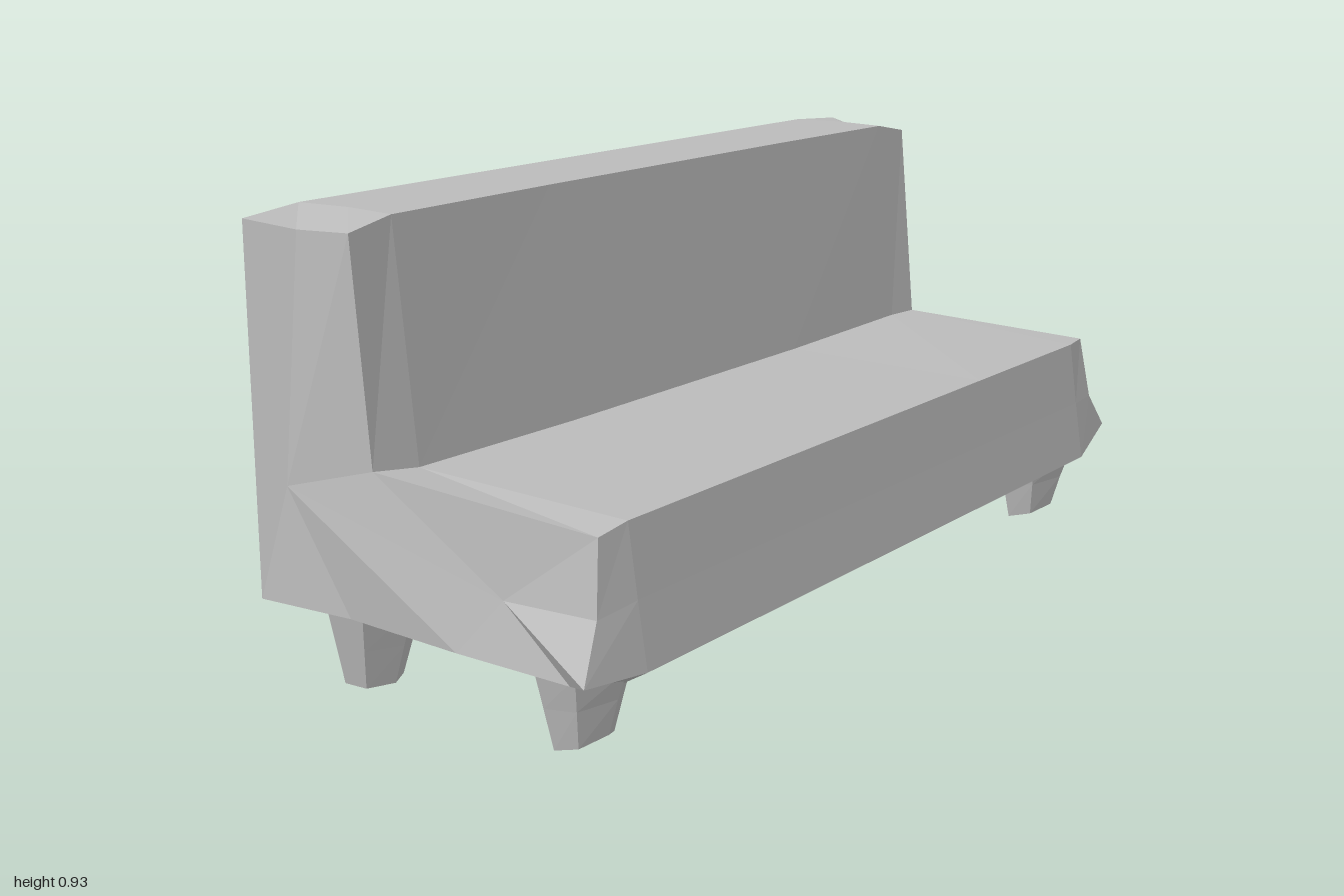
import * as THREE from 'three';

const grey = new THREE.MeshStandardMaterial({ color: 0xbbbbbb, flatShading: true });
grey.name = 'warm grey';

// Corners [x, y, z] run from the front bottom over the seat and backrest, then under the body.
const rightEnd = [
  [-0.995, 0.185, 0.4], [-0.94, 0.29, 0.385], [-0.915, 0.43, 0.37], [-0.945, 0.465, -0.14],
  [-0.95, 0.905, -0.17], [-0.955, 0.9, -0.3], [-0.99, 0.915, -0.405], [-1, 0.18, -0.4],
  [-0.96, 0.17, -0.2], [-0.97, 0.17, 0.08], [-0.95, 0.16, 0.33],
];
const leftEnd = [
  [1, 0.215, 0.39], [0.93, 0.3, 0.385], [0.92, 0.44, 0.36], [0.93, 0.45, -0.12],
  [0.945, 0.905, -0.17], [0.95, 0.9, -0.3], [1, 0.915, -0.415], [0.995, 0.185, -0.405],
  [0.96, 0.17, -0.2], [0.97, 0.172, 0.08], [0.94, 0.15, 0.33],
];
// Inner cross-sections as [z, y]
const shoulder = [
  [0.415, 0.17], [0.395, 0.3], [0.375, 0.442], [-0.125, 0.452], [-0.172, 0.925],
  [-0.285, 0.928], [-0.418, 0.925], [-0.405, 0.175], [-0.19, 0.145], [-0.08, 0.158], [0.34, 0.125],
];
const middle = [
  [0.415, 0.17], [0.395, 0.3], [0.375, 0.442], [-0.122, 0.447], [-0.172, 0.927],
  [-0.285, 0.93], [-0.418, 0.925], [-0.405, 0.172], [-0.19, 0.17], [-0.08, 0.17], [0.34, 0.17],
];
const section = (profile, x) => profile.map(([z, y]) => [x, y, z]);

function bodyGeometry() {
  const rings = [rightEnd, section(shoulder, -0.84), section(middle, -0.4),
    section(middle, 0.4), section(shoulder, 0.84), leftEnd];
  const n = rightEnd.length;
  const points = [];
  const tri = (a, b, c, flip) => points.push(...a, ...(flip ? c : b), ...(flip ? b : c));

  // Skin between neighbouring sections
  for (let s = 0; s < rings.length - 1; s++) {
    for (let i = 0; i < n; i++) {
      const j = (i + 1) % n;
      tri(rings[s][i], rings[s + 1][i], rings[s + 1][j]);
      tri(rings[s][i], rings[s + 1][j], rings[s][j]);
    }
  }
  // Faceted ends, fanned around a rear and a front corner
  for (const [ring, side] of [[rightEnd, -1], [leftEnd, 1]]) {
    const rear = [side * 0.975, 0.41, -0.34];
    const front = [side * 0.94, 0.28, 0.17];
    const flip = side > 0;
    for (let i = 0; i < n; i++) {
      tri(i >= 3 && i < 9 ? rear : front, ring[i], ring[(i + 1) % n], flip);
    }
    tri(rear, front, ring[3], flip);
    tri(front, rear, ring[9], flip);
  }
  const geometry = new THREE.BufferGeometry();
  geometry.setAttribute('position', new THREE.Float32BufferAttribute(points, 3));
  geometry.computeVertexNormals();
  return geometry;
}

// Stubby tapered leg; the lean slides the foot along z and the lift tilts its sole
function legGeometry(lean, lift) {
  const height = 0.17;
  const geometry = new THREE.CylinderGeometry(0.098, 0.058, height, 6, 2);
  geometry.translate(0, height / 2, 0);
  const p = geometry.attributes.position;
  for (let i = 0; i < p.count; i++) {
    const drop = 1 - p.getY(i) / height;
    const z = p.getZ(i);
    p.setY(i, p.getY(i) + drop * lift * Math.max(0, z) / 0.058);
    p.setZ(i, z + drop * lean);
  }
  geometry.computeVertexNormals();
  return geometry;
}

export function createModel() {
  const sofa = new THREE.Group();
  sofa.name = 'sofa';
  const add = (name, geometry, x = 0, z = 0) => {
    const mesh = new THREE.Mesh(geometry, grey);
    mesh.name = name;
    mesh.position.set(x, 0, z);
    sofa.add(mesh);
  };
  add('seatAndBackrest', bodyGeometry());
  const frontLeg = legGeometry(-0.005, 0.035);
  const rearLeg = legGeometry(-0.015, 0.005);
  for (const [side, label] of [[-1, 'Right'], [1, 'Left']]) {
    add('front' + label + 'Leg', frontLeg, side * 0.85, 0.28);
    add('rear' + label + 'Leg', rearLeg, side * 0.85, -0.245);
  }
  return sofa;
}
